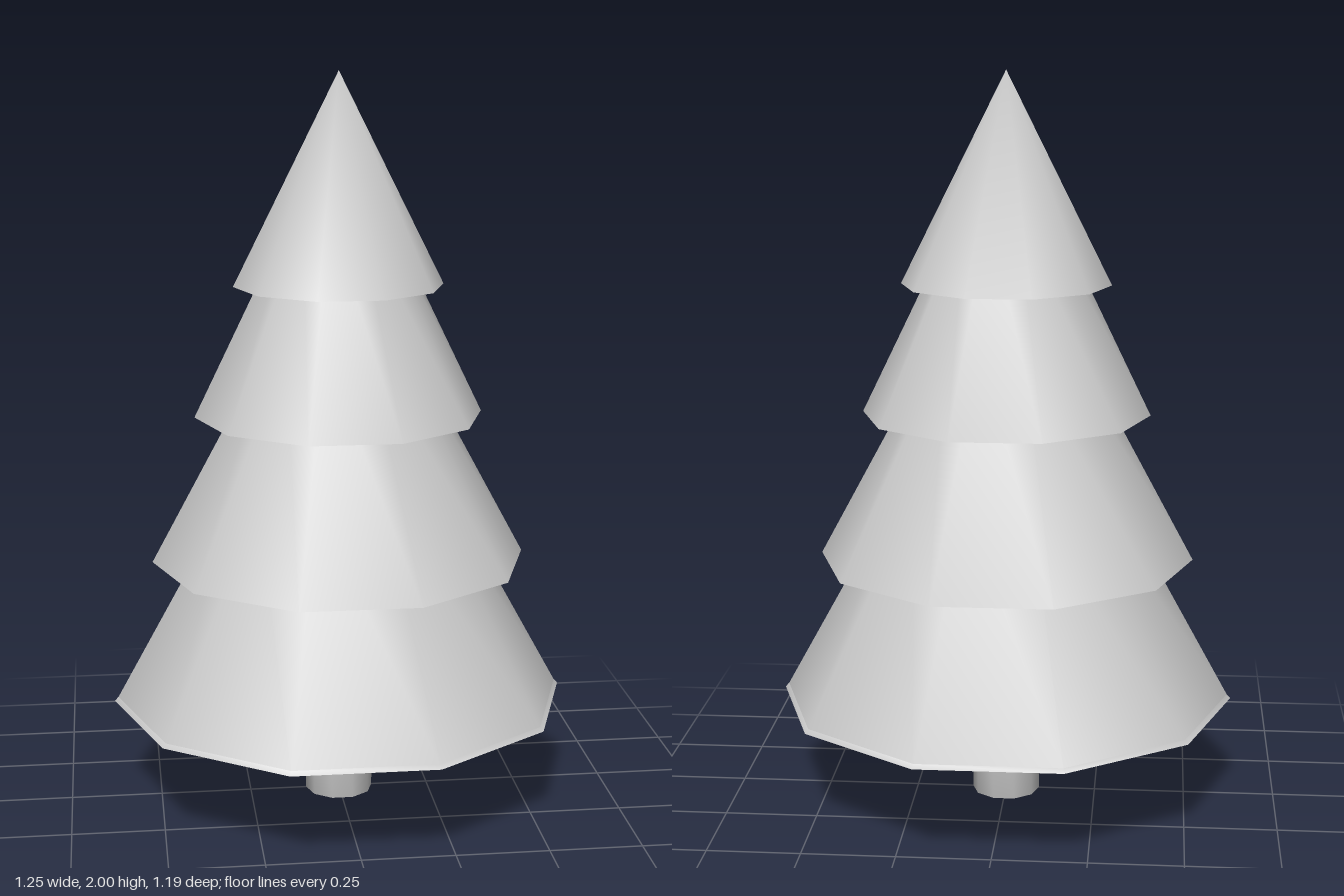
import * as THREE from 'three';
import { mergeVertices } from 'three/addons/utils/BufferGeometryUtils.js';

const SIDES = 10;
const material = new THREE.MeshStandardMaterial({ color: 0xcccccc, side: THREE.DoubleSide });

// Ten-sided turned part with shared, smooth normals; profile runs bottom to top as [radius, y]
function turned(name, profile) {
  const points = profile.map(([r, y]) => new THREE.Vector2(r, y));
  let geometry = new THREE.LatheGeometry(points, SIDES, Math.PI / 2);
  geometry.deleteAttribute('uv');
  geometry.deleteAttribute('normal');
  geometry = mergeVertices(geometry);
  geometry.computeVertexNormals();
  const mesh = new THREE.Mesh(geometry, material);
  mesh.name = name;
  return mesh;
}

export function createModel() {
  const tree = new THREE.Group();
  tree.name = 'firTree';

  // Trunk
  tree.add(turned('trunk', [[0, 0], [0.093, 0], [0.093, 0.29]]));

  // Flat underside of the foliage and its thin rim
  tree.add(turned('foliageBase', [[0, 0.281], [0.625, 0.281]]));
  tree.add(turned('foliageRim', [[0.625, 0.281], [0.615, 0.292]]));

  // Overlapping skirts of branches; each runs up inside the next one
  const tiers = [
    [[0.615, 0.292], [0.29, 0.88]],
    [[0.513, 0.678], [0.187, 1.28]],
    [[0.392, 1.08], [0.125, 1.63]],
    [[0.284, 1.433], [0, 2]],
  ];
  tiers.forEach((profile, i) => tree.add(turned(`branchTier${i + 1}`, profile)));

  return tree;
}
